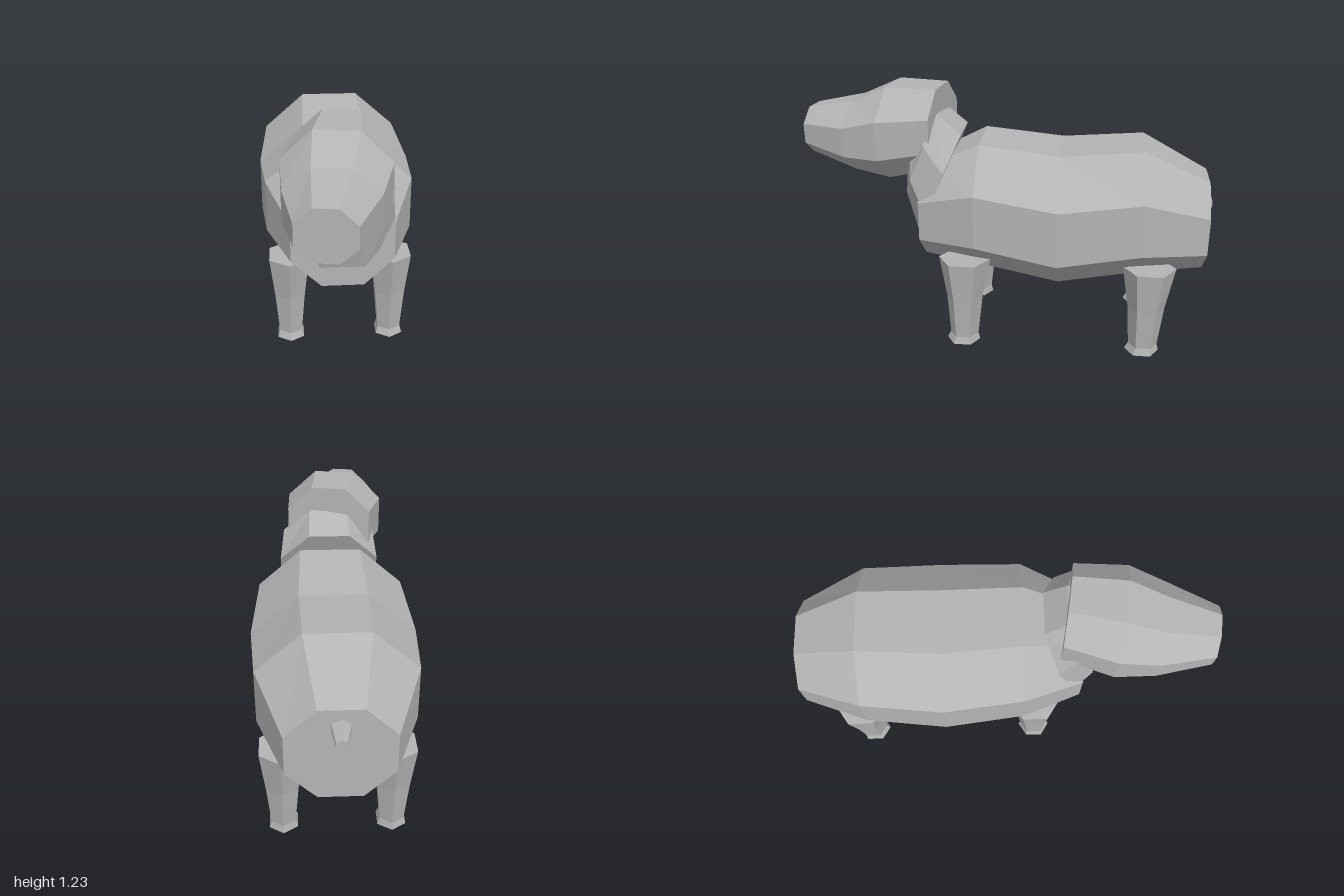
import * as THREE from 'three';

const hide = new THREE.MeshStandardMaterial({ color: 0xb4b4b4, flatShading: true });
hide.name = 'grey hide';

// Capped n-sided loft. Each ring is {c: centre, u, v: half-axis vectors}; rings advance along u x v.
function loft(name, n, rings) {
  const k = 1 / Math.cos(Math.PI / n);
  const pts = rings.map(({ c, u, v }) => Array.from({ length: n }, (_, i) => {
    const a = ((i + 0.5) / n) * Math.PI * 2;
    const s = Math.cos(a) * k, t = Math.sin(a) * k;
    return [0, 1, 2].map((j) => c[j] + u[j] * s + v[j] * t);
  }));
  const pos = [];
  const tri = (a, b, c) => pos.push(...a, ...b, ...c);
  for (let r = 0; r < pts.length - 1; r++) {
    for (let i = 0; i < n; i++) {
      const j = (i + 1) % n, p = pts[r], q = pts[r + 1];
      tri(p[i], p[j], q[j]);
      tri(p[i], q[j], q[i]);
    }
  }
  const first = pts[0], last = pts[pts.length - 1];
  for (let i = 1; i < n - 1; i++) {
    tri(first[0], first[i + 1], first[i]);
    tri(last[0], last[i], last[i + 1]);
  }
  const g = new THREE.BufferGeometry();
  g.setAttribute('position', new THREE.Float32BufferAttribute(pos, 3));
  g.computeVertexNormals();
  const mesh = new THREE.Mesh(g, hide);
  mesh.name = name;
  return mesh;
}

export function createModel() {
  const model = new THREE.Group();
  model.name = 'animal';

  // Body: z, centre y, half width, half height
  model.add(loft('body', 8, [
    [-0.97, 0.61, 0.23, 0.22],
    [-0.66, 0.678, 0.35, 0.308],
    [-0.275, 0.625, 0.38, 0.325],
    [0.11, 0.68, 0.35, 0.31],
    [0.39, 0.625, 0.24, 0.23],
  ].map(([z, y, w, h]) => ({ c: [0, y, z], u: [w, 0, 0], v: [0, h, 0] }))));

  // Neck: tilted rings given by front-bottom and back-top points, and half width
  model.add(loft('neck', 8, [
    [0.42, 0.51, 0.2, 1.02, 0.245],
    [0.475, 0.71, 0.305, 1.11, 0.225],
    [0.475, 0.91, 0.37, 1.13, 0.1],
  ].map(([z0, y0, z1, y1, w]) => ({
    c: [0, (y0 + y1) / 2, (z0 + z1) / 2],
    u: [w, 0, 0],
    v: [0, (y1 - y0) / 2, (z1 - z0) / 2],
  }))));

  // Head, turned slightly to its right: x, y, z, half width, half height
  const yaw = 0.16;
  model.add(loft('head', 8, [
    [0, 1.035, 0.303, 0.203, 0.195],
    [-0.04, 1.0, 0.55, 0.238, 0.226],
    [-0.07, 0.967, 0.735, 0.203, 0.172],
    [-0.108, 0.97, 0.977, 0.125, 0.115],
  ].map(([x, y, z, w, h]) => ({
    c: [x, y, z],
    u: [w * Math.cos(yaw), 0, w * Math.sin(yaw)],
    v: [0, h, 0],
  }))));

  // Legs with flared feet: y, z shift, half width, half depth
  const legRings = [
    [0.45, 0, 0.095, 0.108],
    [0.24, 0.003, 0.072, 0.076],
    [0.035, 0.007, 0.055, 0.06],
    [0, 0.011, 0.065, 0.071],
  ];
  for (const [pair, z] of [['front', 0.17], ['hind', -0.71]]) {
    for (const [side, s] of [['Left', 1], ['Right', -1]]) {
      model.add(loft(pair + side + 'Leg', 6, legRings.map(([y, dz, w, d]) => ({
        c: [s * 0.247, y, z + dz], u: [w, 0, 0], v: [0, 0, d],
      }))));
    }
  }

  // Tail stub
  model.add(loft('tail', 6, [
    [-0.95, 0.755, 0.042, 0.04],
    [-0.97, 0.742, 0.04, 0.038],
    [-1.0, 0.685, 0.022, 0.02],
  ].map(([z, y, w, h]) => ({ c: [0, y, z], u: [-w, 0, 0], v: [0, h, 0] }))));

  return model;
}
